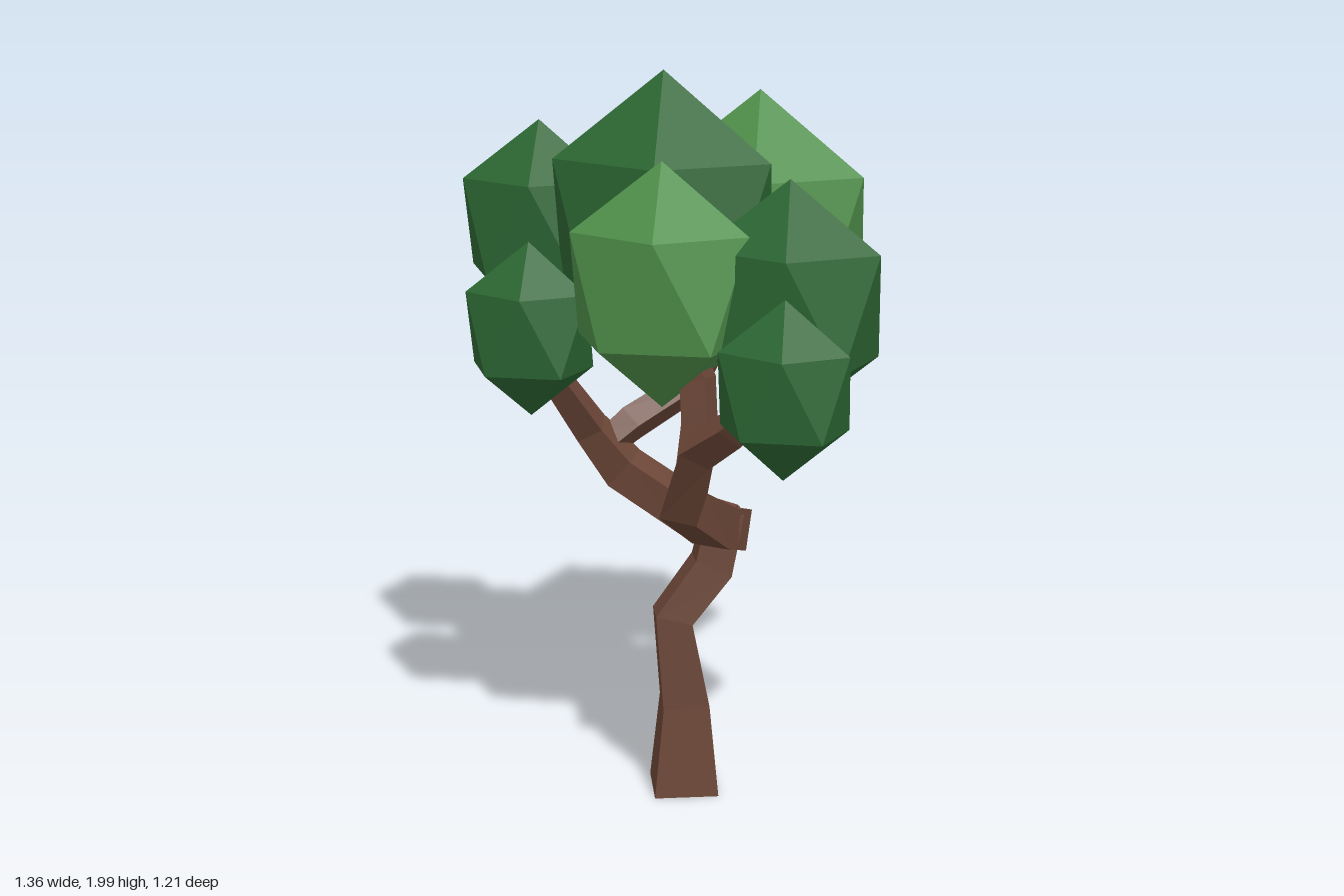
import * as THREE from 'three';

const bark = new THREE.MeshStandardMaterial({ color: 0x6b4637, flatShading: true });
const darkLeaf = new THREE.MeshStandardMaterial({ color: 0x2c6633, flatShading: true });
const lightLeaf = new THREE.MeshStandardMaterial({ color: 0x4f8f4a, flatShading: true });

// Four-sided limb swept along [x, y, z, cornerRadius] stations, capped at both ends.
function limb(name, stations, startSide) {
  const pts = stations.map(s => new THREE.Vector3(s[0], s[1], s[2]));
  const last = pts.length - 1;
  const pos = [], index = [];
  const side = new THREE.Vector3(...startSide);
  let prev = null;
  pts.forEach((p, i) => {
    const into = pts[Math.max(i, 1)].clone().sub(pts[Math.max(i, 1) - 1]).normalize();
    const out = pts[Math.min(i + 1, last)].clone().sub(pts[Math.min(i, last - 1)]).normalize();
    const t = into.add(out).normalize();
    if (i === 0 && name === 'trunk') t.set(0, 1, 0);
    if (prev) side.applyQuaternion(new THREE.Quaternion().setFromUnitVectors(prev, t));
    side.addScaledVector(t, -side.dot(t)).normalize();
    prev = t;
    const other = t.clone().cross(side);
    for (let k = 0; k < 4; k++) {
      const a = k * Math.PI / 2;
      const v = p.clone()
        .addScaledVector(side, Math.cos(a) * stations[i][3])
        .addScaledVector(other, Math.sin(a) * stations[i][3]);
      pos.push(v.x, v.y, v.z);
      if (i < last) {
        const b = i * 4 + k, c = i * 4 + (k + 1) % 4;
        index.push(b, c, c + 4, b, c + 4, b + 4);
      }
    }
  });
  const e = last * 4;
  index.push(0, 2, 1, 0, 3, 2, e, e + 1, e + 2, e, e + 2, e + 3);
  const geo = new THREE.BufferGeometry();
  geo.setAttribute('position', new THREE.Float32BufferAttribute(pos, 3));
  geo.setIndex(index);
  const flat = geo.toNonIndexed();
  flat.computeVertexNormals();
  const mesh = new THREE.Mesh(flat, bark);
  mesh.name = name;
  return mesh;
}

// Twenty-sided leaf clump with one corner straight up; rx, rz are the ring radii.
function clump(name, [x, y, z], [rx, ry, rz], material) {
  const geo = new THREE.IcosahedronGeometry(1, 0);
  geo.rotateZ(-Math.atan(2 / (1 + Math.sqrt(5))));
  const ring = 2 / Math.sqrt(5);
  geo.scale(rx / ring, ry, rz / ring);
  geo.computeVertexNormals();
  const mesh = new THREE.Mesh(geo, material);
  mesh.position.set(x, y, z);
  mesh.name = name;
  return mesh;
}

export function createModel() {
  const tree = new THREE.Group();
  tree.name = 'tree';

  // Trunk and branches
  tree.add(
    limb('trunk', [
      [0.05, 0.01, 0.07, 0.125], [0.055, 0.27, 0.077, 0.09], [0.03, 0.52, 0.1, 0.073],
      [0.115, 0.66, 0.03, 0.076], [0.143, 0.82, 0.01, 0.07],
    ], [0.97, 0, 0.24]),
    limb('leftBranch', [
      [0.15, 0.765, 0.01, 0.075], [0.06, 0.785, 0.01, 0.07], [-0.16, 0.9, 0.02, 0.07],
      [-0.23, 1.02, 0.08, 0.055], [-0.27, 1.17, 0.19, 0.045], [-0.3, 1.3, 0.25, 0.035],
    ], [0, 0.7, 0.7]),
    limb('backBranch', [
      [-0.2, 0.97, 0.04, 0.045], [-0.155, 1.02, -0.02, 0.052], [-0.04, 1.11, -0.16, 0.05],
      [-0.01, 1.2, -0.21, 0.047], [0.03, 1.36, -0.28, 0.04],
    ], [-0.4, 0.7, 0.4]),
    limb('frontBranch', [
      [0.143, 0.755, -0.03, 0.08], [0.143, 0.785, 0.07, 0.08], [0.15, 0.9, 0.28, 0.072],
      [0.23, 1.08, 0.36, 0.06], [0.35, 1.16, 0.41, 0.05], [0.47, 1.26, 0.45, 0.04],
    ], [0.7, 0.7, 0]),
    limb('frontTwig', [
      [0.21, 1.03, 0.34, 0.05], [0.215, 1.14, 0.32, 0.05], [0.2, 1.25, 0.3, 0.05], [0.15, 1.38, 0.3, 0.04],
    ], [0.7, 0, 0.7]),
  );

  // Leaf clumps
  tree.add(
    clump('crownLeaves', [-0.03, 1.585, 0.03], [0.31, 0.415, 0.263], darkLeaf),
    clump('backLeaves', [0.08, 1.51, -0.35], [0.31, 0.41, 0.266], lightLeaf),
    clump('rightLeaves', [-0.46, 1.55, -0.062], [0.222, 0.29, 0.193], darkLeaf),
    clump('frontLeaves', [0.103, 1.485, 0.31], [0.243, 0.317, 0.213], lightLeaf),
    clump('leftLeaves', [0.402, 1.443, 0.188], [0.245, 0.317, 0.212], darkLeaf),
    clump('lowerRightLeaves', [-0.311, 1.325, 0.265], [0.175, 0.235, 0.153], darkLeaf),
    clump('lowerLeftLeaves', [0.51, 1.287, 0.465], [0.17, 0.225, 0.147], darkLeaf),
  );
  return tree;
}
